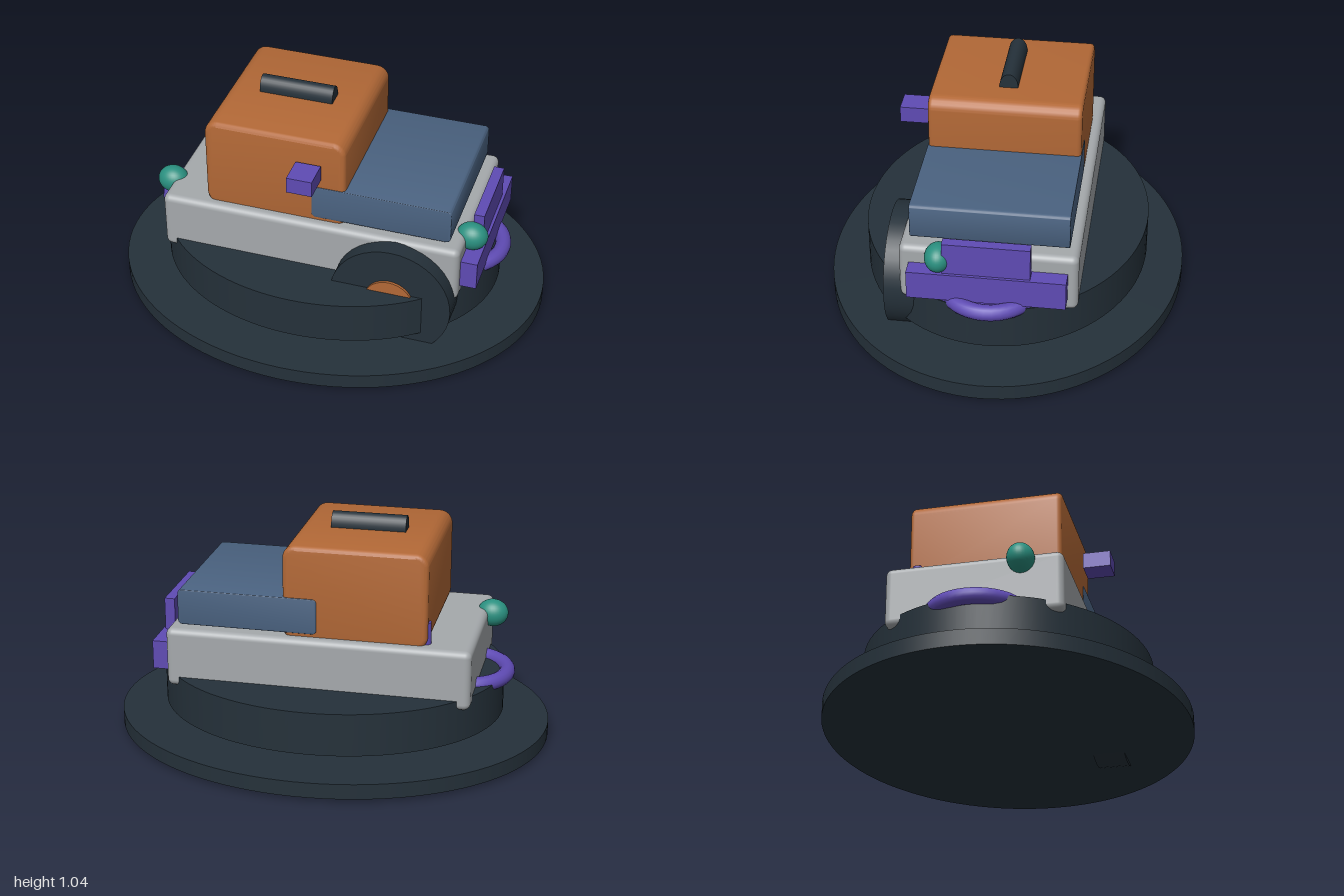
import * as THREE from 'three';
import { RoundedBoxGeometry } from 'three/addons/geometries/RoundedBoxGeometry.js';
import { toCreasedNormals } from 'three/addons/utils/BufferGeometryUtils.js';

const paint = (name, color) => {
  const m = new THREE.MeshStandardMaterial({ color });
  m.name = name;
  return m;
};

export function createModel() {
  const group = new THREE.Group();
  const dark = paint('darkSlate', 0x25313a);
  const orange = paint('burntOrange', 0xb26836);
  const grey = paint('lightGrey', 0xa5a9ac);
  const blue = paint('steelBlue', 0x4a6280);
  const purple = paint('violet', 0x5f4bb4);
  const teal = paint('teal', 0x2a9080);

  const add = (name, geometry, material, x, y, z) => {
    const mesh = new THREE.Mesh(geometry, material);
    mesh.name = name;
    mesh.position.set(x, y, z);
    group.add(mesh);
    return mesh;
  };

  // Box given by its limits on each axis
  const box = (name, material, [x0, x1], [y0, y1], [z0, z1], r = 0) => {
    const size = [x1 - x0, y1 - y0, z1 - z0];
    const geometry = r ? new RoundedBoxGeometry(...size, 4, r) : new THREE.BoxGeometry(...size);
    return add(name, geometry, material, (x0 + x1) / 2, (y0 + y1) / 2, (z0 + z1) / 2);
  };

  // Side profile with rounded corners, extruded across z with a small bevel
  const slab = (name, material, [x0, x1], [y0, y1], halfDepth, r, bevel) => {
    const w = (x1 - x0) / 2 - bevel, h = (y1 - y0) / 2 - bevel, c = r - bevel;
    const s = new THREE.Shape();
    s.absarc(w - c, h - c, c, 0, Math.PI / 2);
    s.absarc(c - w, h - c, c, Math.PI / 2, Math.PI);
    s.absarc(c - w, c - h, c, Math.PI, Math.PI * 1.5);
    s.absarc(w - c, c - h, c, Math.PI * 1.5, Math.PI * 2);
    const depth = 2 * (halfDepth - bevel);
    const geometry = new THREE.ExtrudeGeometry(s, {
      depth, bevelSize: bevel, bevelThickness: bevel, bevelSegments: 3, curveSegments: 8
    });
    geometry.translate(0, 0, -depth / 2);
    add(name, toCreasedNormals(geometry, 0.7), material, (x0 + x1) / 2, (y0 + y1) / 2, 0);
  };

  // Elliptical plinth
  const disc = (name, rx, rz, y0, y1) => {
    const geometry = new THREE.CylinderGeometry(1, 1, y1 - y0, 96);
    geometry.scale(rx, 1, rz);
    add(name, geometry, dark, 0, (y0 + y1) / 2, 0);
  };
  disc('basePlate', 1, 0.82, 0.02, 0.09);
  disc('upperPlate', 0.79, 0.65, 0.14, 0.337);

  // Body
  box('chassis', grey, [-0.69, 0.69], [0.29, 0.565], [-0.39, 0.39], 0.03);
  slab('cabin', orange, [-0.49, 0.16], [0.54, 0.98], 0.344, 0.06, 0.02);
  slab('hood', blue, [0.005, 0.64], [0.578, 0.742], 0.347, 0.02, 0.004);

  // Roof bar, an oval rod lying along x
  const bar = new THREE.CylinderGeometry(1, 1, 0.34, 32);
  bar.rotateZ(Math.PI / 2);
  bar.scale(1, 0.06, 0.042);
  add('roofBar', bar, dark, -0.165, 0.986, 0);

  // Single side wheel with hub
  const wheel = new THREE.CylinderGeometry(0.276, 0.276, 0.145, 40);
  wheel.rotateX(Math.PI / 2);
  add('wheel', wheel, dark, 0.405, 0.279, 0.3925);
  const hub = new THREE.CylinderGeometry(0.112, 0.112, 0.1, 32);
  hub.rotateX(Math.PI / 2);
  add('wheelHub', hub, orange, 0.402, 0.286, 0.427);

  // Bumper, grille and small fittings
  box('bumper', purple, [0.68, 0.765], [0.352, 0.485], [-0.345, 0.345]);
  box('grille', purple, [0.705, 0.752], [0.337, 0.635], [-0.19, 0.19]);
  box('sideMirror', purple, [-0.06, 0.055], [0.795, 0.87], [0.36, 0.487]);
  add('exhaustStub', new THREE.CylinderGeometry(0.022, 0.022, 0.12, 16), purple, -0.48, 0.605, -0.305);

  // Lamp and tow ring at each end
  for (const side of [-1, 1]) {
    const lamp = new THREE.SphereGeometry(1, 32, 20);
    lamp.scale(0.072, 0.064, 0.06);
    add(side > 0 ? 'leftLamp' : 'rightLamp', lamp, teal, side * 0.706, 0.536, 0.212);
    const ring = new THREE.TorusGeometry(0.193, 0.036, 14, 40);
    ring.rotateX(Math.PI / 2);
    add(side > 0 ? 'leftRing' : 'rightRing', ring, purple, side * 0.612, 0.333, 0);
  }
  return group;
}
